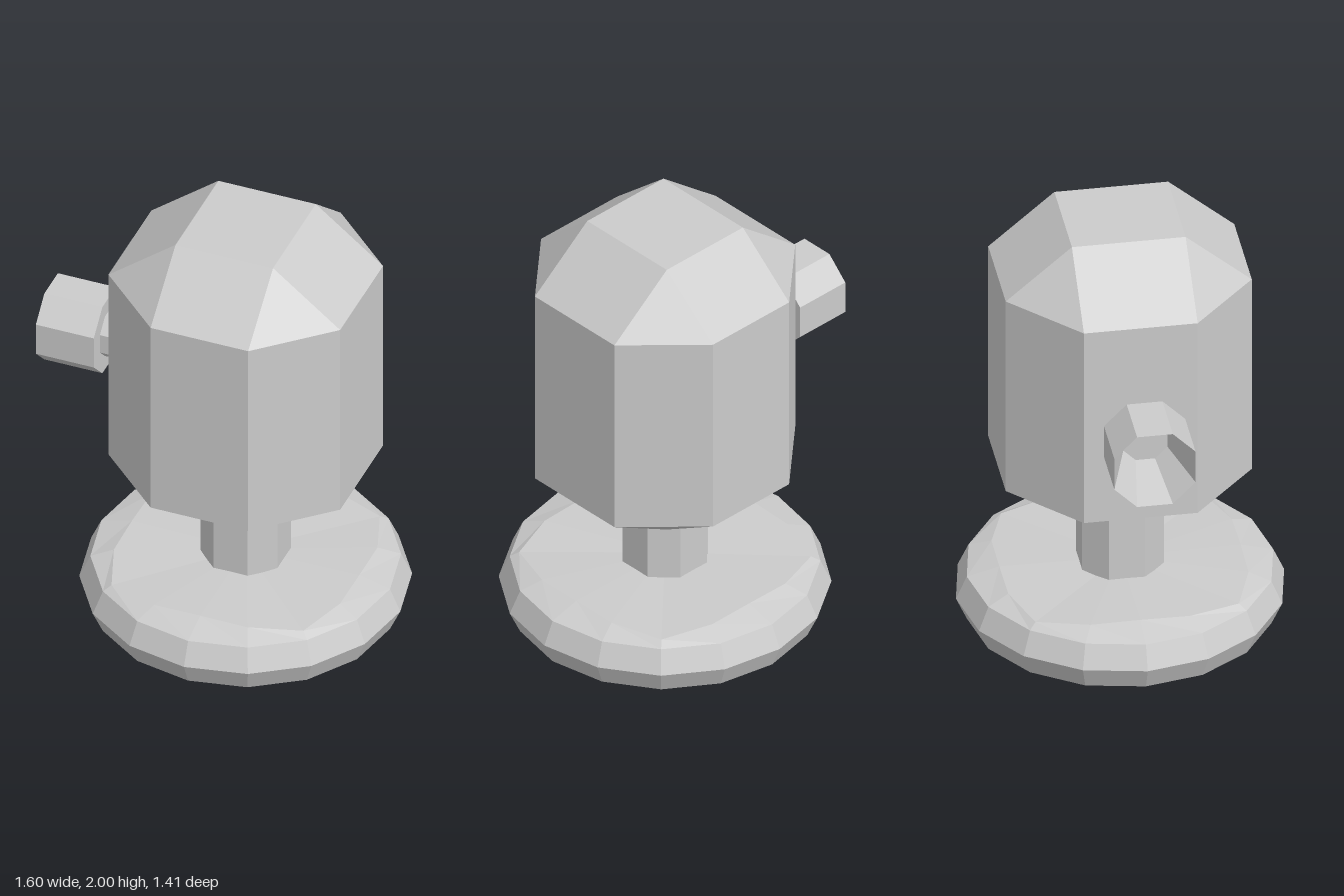
import * as THREE from 'three';

const material = new THREE.MeshStandardMaterial({ color: 0xcccccc, flatShading: true });

// Skins a stack of horizontal rings (bottom to top) and closes both ends.
function loft(name, rings) {
  const pos = [];
  const tri = (a, b, c) => {
    const area = new THREE.Triangle(a, b, c).getArea();
    if (area > 1e-7) for (const p of [a, b, c]) pos.push(p.x, p.y, p.z);
  };
  const centre = (ring) =>
    ring.reduce((s, p) => s.add(p), new THREE.Vector3()).divideScalar(ring.length);
  const n = rings[0].length;
  const bottom = rings[0];
  const top = rings[rings.length - 1];
  const cb = centre(bottom);
  const ct = centre(top);
  for (let i = 0; i < n; i++) {
    const j = (i + 1) % n;
    for (let k = 0; k < rings.length - 1; k++) {
      const lo = rings[k];
      const hi = rings[k + 1];
      tri(lo[i], hi[i], hi[j]);
      tri(lo[i], hi[j], lo[j]);
    }
    tri(cb, bottom[i], bottom[j]);
    tri(ct, top[j], top[i]);
  }
  const geo = new THREE.BufferGeometry();
  geo.setAttribute('position', new THREE.Float32BufferAttribute(pos, 3));
  geo.computeVertexNormals();
  const mesh = new THREE.Mesh(geo, material);
  mesh.name = name;
  return mesh;
}

// Octagon with half widths a (x) and b (z) and half flats fx and fz.
function octagon(y, a, b, fx, fz) {
  return [
    [a, fz], [fx, b], [-fx, b], [-a, fz],
    [-a, -fz], [-fx, -b], [fx, -b], [a, -fz],
  ].map(([x, z]) => new THREE.Vector3(x, y, z));
}
const evenOctagon = (y, r) => octagon(y, r, r, r * 0.44, r * 0.44);

// Sixteen-sided ring; at(k) gives [radius, height], k = 0 on an axis, 2 on a diagonal.
function ring16(at) {
  return Array.from({ length: 16 }, (_, i) => {
    const k = 2 - Math.abs((i % 4) - 2);
    const [r, y] = at(k);
    const t = (i * Math.PI) / 8;
    return new THREE.Vector3(r * Math.cos(t), y, r * Math.sin(t));
  });
}

export function createModel() {
  const model = new THREE.Group();
  const column = new THREE.Group();
  column.name = 'column';
  column.position.x = 0.09;
  model.add(column);

  // Rounded foot whose flat caps are slightly squared
  const capRadius = [0.52, 0.56, 0.62];
  const capDrop = [0, 0.004, 0.015];
  column.add(loft('base', [
    ring16((k) => [capRadius[k], capDrop[k]]),
    ring16(() => [0.66, 0.04]),
    ring16(() => [0.707, 0.145]),
    ring16(() => [0.66, 0.25]),
    ring16((k) => [capRadius[k], 0.287 - capDrop[k]]),
  ]));

  // Stem between foot and body
  column.add(loft('stem', [evenOctagon(0.25, 0.176), evenOctagon(0.68, 0.176)]));

  // Octagonal body tapering to a rectangle at both ends
  const fx = 0.223;
  const fz = 0.245;
  column.add(loft('body', [
    octagon(0.64, fx, fz, fx, fz),
    octagon(0.805, 0.53, 0.53, fx, fz),
    octagon(1.757, 0.53, 0.53, fx, fz),
    octagon(2, fx, fz, fx, fz),
  ]));

  // Side spout: a short neck and a hollow, flared nozzle pointing to -x
  const spout = new THREE.Group();
  spout.name = 'spout';
  spout.position.y = 1.267;
  spout.rotation.z = Math.PI / 2;
  spout.add(loft('neck', [evenOctagon(0.4, 0.105), evenOctagon(0.54, 0.105)]));
  spout.add(loft('nozzle', [
    evenOctagon(0.535, 0.175),
    evenOctagon(0.8, 0.175),
    evenOctagon(0.555, 0.095),
  ]));
  model.add(spout);

  return model;
}
